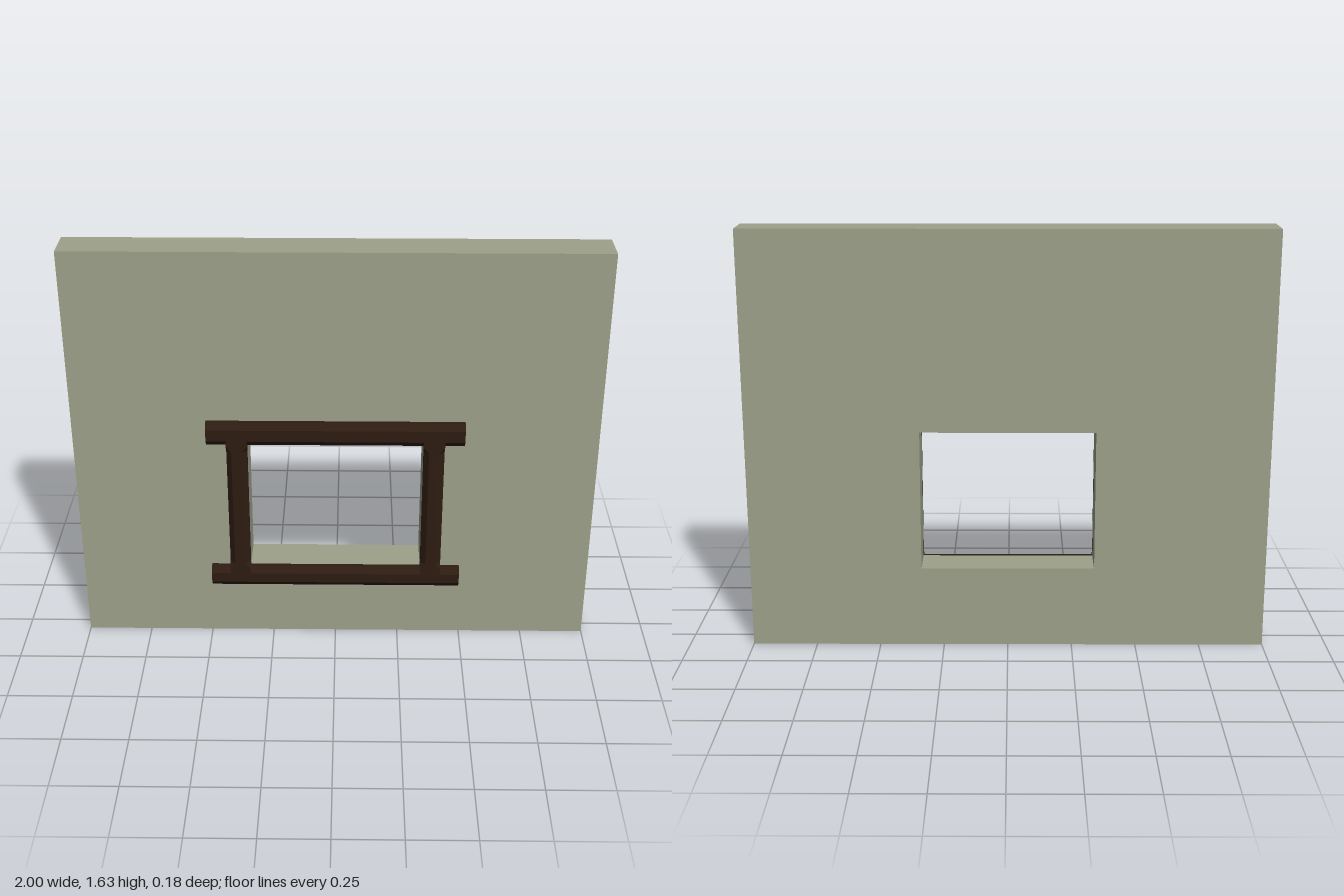
import * as THREE from 'three';

const WALL_FRONT = 0.055, FACE = 0.09;
const stone = new THREE.MeshStandardMaterial({ color: 0x9da28a, flatShading: true });
const wood = new THREE.MeshStandardMaterial({ color: 0x2e1c12, flatShading: true });

// Bar along y with its two front edges chamfered; stations are [y, chamfer width, chamfer depth]
function chamferedBar(width, stations) {
  const w = width / 2, pos = [], index = [], n = 6;
  for (const [y, c, d] of stations) {
    const ring = [[-w, WALL_FRONT], [w, WALL_FRONT], [w, FACE - d], [w - c, FACE], [-w + c, FACE], [-w, FACE - d]];
    for (const [x, z] of ring) pos.push(x, y, z);
  }
  for (let s = 0; s < stations.length - 1; s++) {
    for (let i = 0; i < n; i++) {
      const a = s * n + i, b = s * n + (i + 1) % n;
      index.push(a, a + n, b, b, a + n, b + n);
    }
  }
  // End caps
  const top = (stations.length - 1) * n;
  for (let i = 1; i < n - 1; i++) {
    index.push(0, i, i + 1, top, top + i + 1, top + i);
  }
  const geo = new THREE.BufferGeometry();
  geo.setAttribute('position', new THREE.Float32BufferAttribute(pos, 3));
  geo.setIndex(index);
  const flat = geo.toNonIndexed();
  flat.computeVertexNormals();
  return flat;
}

function rectangle(PathType, x0, y0, x1, y1) {
  return new PathType([[x0, y0], [x1, y0], [x1, y1], [x0, y1]].map(([x, y]) => new THREE.Vector2(x, y)));
}

export function createModel() {
  const model = new THREE.Group();
  model.name = 'wallWithWindow';

  const add = (name, geometry, material, parent) => {
    const mesh = new THREE.Mesh(geometry, material);
    mesh.name = name;
    parent.add(mesh);
    return mesh;
  };

  // Wall panel with the window opening cut through
  const outline = rectangle(THREE.Shape, -1, 0, 1, 1.635);
  outline.holes.push(rectangle(THREE.Path, -0.335, 0.318, 0.335, 0.865));
  const wallGeo = new THREE.ExtrudeGeometry(outline, { depth: 0.145, bevelEnabled: false });
  wallGeo.translate(0, 0, -0.09);
  add('wall', wallGeo, stone, model);

  const frame = new THREE.Group();
  frame.name = 'windowFrame';
  model.add(frame);

  // Lintel and sill overhang the posts on both sides
  for (const [name, y0, y1] of [['lintel', 0.865, 0.96], ['sill', 0.23, 0.318]]) {
    const geo = chamferedBar(y1 - y0, [[-0.49, 0.024, 0.02], [0.49, 0.024, 0.02]]);
    geo.rotateZ(-Math.PI / 2);
    add(name, geo, wood, frame).position.y = (y0 + y1) / 2;
  }

  // Posts: the chamfers run out to square corners just before the rails
  const post = chamferedBar(0.08, [
    [0.294, 0, 0], [0.318, 0, 0], [0.342, 0.02, 0.02],
    [0.841, 0.02, 0.02], [0.865, 0, 0], [0.889, 0, 0],
  ]);
  for (const [name, side] of [['leftPost', 1], ['rightPost', -1]]) {
    add(name, post, wood, frame).position.x = side * 0.375;
  }

  return model;
}
